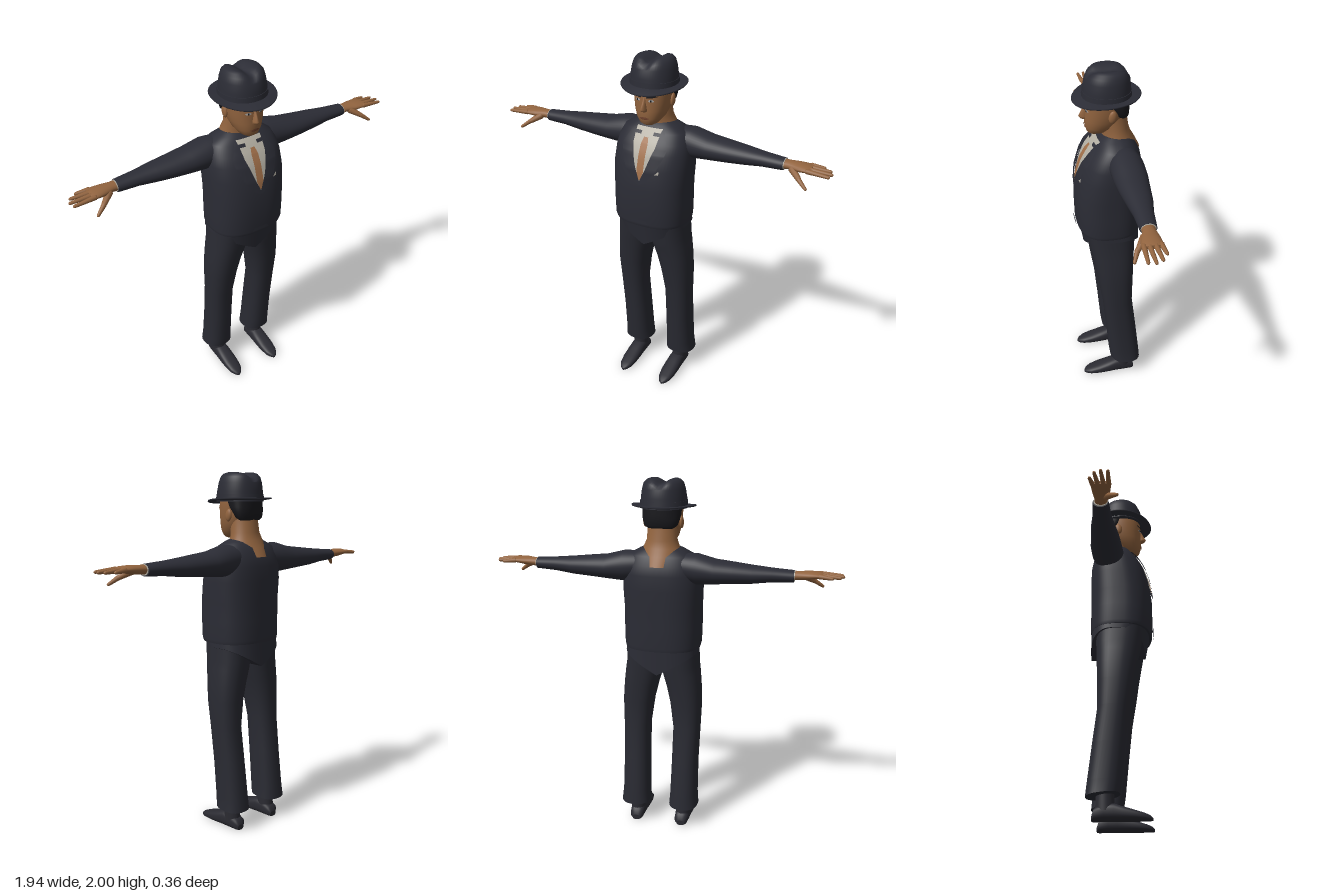
import * as THREE from 'three';

const paint = (name, color) => Object.assign(new THREE.MeshStandardMaterial({ color }), { name });

// Reverse the winding of an indexed geometry
function flip(geo) {
  const ix = geo.index;
  for (let i = 0; i < ix.count; i += 3) {
    const b = ix.getX(i + 1);
    ix.setX(i + 1, ix.getX(i + 2));
    ix.setX(i + 2, b);
  }
  return geo;
}

// Closed skin through superellipse sections [t, u0, u1, v0, v1] along an axis
function loft(sections, { axis = 'y', p = 2, n = 40, bend } = {}) {
  const pos = [], idx = [];
  const place = { x: (t, u, v) => [t, u, v], y: (t, u, v) => [u, t, v], z: (t, u, v) => [u, v, t] }[axis];
  const add = (t, u, v) => {
    const q = new THREE.Vector3(...place(t, u, v));
    if (bend) bend(q);
    pos.push(q.x, q.y, q.z);
  };
  const round = c => Math.sign(c) * Math.abs(c) ** (2 / p);
  const ring = ([t, u0, u1, v0, v1]) => {
    for (let i = 0; i < n; i++) {
      const a = i / n * Math.PI * 2;
      add(t, (u0 + u1) / 2 + (u1 - u0) / 2 * round(Math.cos(a)), (v0 + v1) / 2 + (v1 - v0) / 2 * round(Math.sin(a)));
    }
  };
  sections.forEach(ring);
  const m = sections.length;
  for (let r = 0; r < m - 1; r++) for (let i = 0; i < n; i++) {
    const a = r * n + i, b = r * n + (i + 1) % n;
    idx.push(a, b, a + n, b, b + n, a + n);
  }
  // end caps with their own vertices, so their edges stay crisp
  [sections[0], sections[m - 1]].forEach((s, end) => {
    const base = pos.length / 3;
    ring(s);
    add(s[0], (s[1] + s[2]) / 2, (s[3] + s[4]) / 2);
    for (let i = 0; i < n; i++) {
      const a = base + i, b = base + (i + 1) % n;
      idx.push(base + n, ...(end ? [a, b] : [b, a]));
    }
  });
  const geo = new THREE.BufferGeometry();
  geo.setAttribute('position', new THREE.Float32BufferAttribute(pos, 3));
  geo.setIndex(idx);
  // turn the skin outwards
  let volume = 0;
  const v = k => new THREE.Vector3().fromArray(pos, idx[k] * 3);
  for (let k = 0; k < idx.length; k += 3) volume += v(k).dot(v(k + 1).cross(v(k + 2)));
  if (volume < 0) flip(geo);
  geo.computeVertexNormals();
  return geo;
}

// Symmetric section: height, half width, back z, front z
const sym = rows => rows.map(([y, w, b, f]) => [y, -w, w, b, f]);

// Thin panel that follows the front of a lofted body; rows are [y, x0, x1]
function panel(body, p, rows, offset) {
  const frontZ = (x, y) => {
    let k = 0;
    while (k < body.length - 2 && y > body[k + 1][0]) k++;
    const a = body[k], b = body[k + 1], t = (y - a[0]) / (b[0] - a[0]);
    const [, , w, z0, z1] = a.map((c, i) => c + (b[i] - c) * t);
    return (z0 + z1) / 2 + (z1 - z0) / 2 * Math.max(0, 1 - Math.abs(x / w) ** p) ** (1 / p) + offset;
  };
  const pos = [], idx = [], cols = 8, sub = 5, last = (rows.length - 1) * sub;
  for (let r = 0; r <= last; r++) {
    const k = Math.min(Math.floor(r / sub), rows.length - 2), t = r / sub - k;
    const [y, x0, x1] = rows[k].map((c, i) => c + (rows[k + 1][i] - c) * t);
    for (let c = 0; c <= cols; c++) {
      const x = x0 + (x1 - x0) * c / cols;
      pos.push(x, y, frontZ(x, y));
      if (r < last && c < cols) {
        const a = r * (cols + 1) + c, d = a + cols + 1;
        idx.push(a, d, a + 1, d, d + 1, a + 1);
      }
    }
  }
  const geo = new THREE.BufferGeometry();
  geo.setAttribute('position', new THREE.Float32BufferAttribute(pos, 3));
  geo.setIndex(idx);
  geo.computeVertexNormals();
  return geo;
}

// Tapered finger segment with a rounded tip
function finger(a, b, r0, r1) {
  const from = new THREE.Vector3(...a), dir = new THREE.Vector3(...b).sub(from), L = dir.length();
  const profile = [[0, -r0 * 0.7], [r0 * 0.7, -r0 * 0.5], [r0, 0], [r1, L - r1], [r1 * 0.7, L - r1 * 0.3], [0, L]];
  const geo = new THREE.LatheGeometry(profile.map(q => new THREE.Vector2(...q)), 10);
  geo.applyQuaternion(new THREE.Quaternion().setFromUnitVectors(new THREE.Vector3(0, 1, 0), dir.normalize()));
  return geo.translate(...a);
}

export function createModel() {
  const suit = paint('charcoal suit', 0x2b2c35), trouser = paint('dark trousers', 0x292a32);
  const leather = paint('shoe leather', 0x2a2a31), skin = paint('skin', 0x92643f);
  const shirt = paint('shirt', 0xb3aea2), tieCloth = paint('tie', 0xa06f49);
  const hair = paint('hair', 0x18181c), lips = paint('lips', 0x734530), eyeWhite = paint('eye white', 0xa9a8a6);
  for (const m of [suit, shirt, tieCloth, hair, lips, eyeWhite]) m.side = THREE.DoubleSide;

  const model = new THREE.Group();
  const part = (name, geo, mat) => {
    const mesh = new THREE.Mesh(geo, mat);
    mesh.name = name;
    model.add(mesh);
  };
  const pair = (name, geo, mat) => {
    part(name + 'Left', geo, mat);
    part(name + 'Right', flip(geo.clone().scale(-1, 1, 1)), mat);
  };

  // Jacket body and the pointed hem below it
  const torso = sym([[1.08, 0.208, -0.172, 0.168], [1.1, 0.213, -0.175, 0.175], [1.2, 0.215, -0.175, 0.178],
    [1.31, 0.215, -0.175, 0.177], [1.42, 0.22, -0.178, 0.16], [1.5, 0.215, -0.175, 0.135], [1.55, 0.205, -0.165, 0.108],
    [1.6, 0.18, -0.14, 0.07], [1.63, 0.125, -0.11, 0.042], [1.645, 0.095, -0.09, 0.02]]);
  const P = 2.6;
  part('jacketBody', loft(torso, { p: P, n: 64 }), suit);
  part('jacketHem', loft(sym([[1.12, 0.203, -0.17, 0.165], [1.055, 0.205, -0.172, 0.135]]), {
    p: P, n: 64, bend: q => { if (q.y < 1.1) q.y -= 0.11 * Math.max(0, 1 - Math.abs(q.x) / 0.2); },
  }), suit);
  part('waistBuckle', panel(torso, P, [[1.125, -0.04, 0.04], [1.095, -0.06, 0.06]], 0.008), suit);

  // Shirt front, tie, lapels and pocket square
  part('shirtFront', panel(torso, P, [[1.622, -0.075, 0.075], [1.55, -0.068, 0.068], [1.45, -0.04, 0.04], [1.36, -0.003, 0.003]], 0.006), shirt);
  part('tie', panel(torso, P, [[1.58, -0.012, 0.012], [1.55, -0.02, 0.02], [1.41, -0.02, 0.02], [1.365, -0.004, 0.004]], 0.009), tieCloth);
  pair('collarTab', panel(torso, P, [[1.605, 0.035, 0.08], [1.59, 0.035, 0.08]], 0.009), suit);
  pair('lapel', panel(torso, P, [[1.615, 0.075, 0.09], [1.54, 0.067, 0.132], [1.5, 0.054, 0.122], [1.42, 0.028, 0.088], [1.36, 0.001, 0.04], [1.34, 0, 0.005]], 0.012), suit);
  part('pocketSquare', panel(torso, P, [[1.427, 0.104, 0.107], [1.408, 0.085, 0.107]], 0.011), shirt);

  // Sleeves, cuffs and hands
  const tube = rows => rows.map(([x, y, z, ry, rz]) => [x, y - ry, y + ry, z - rz, z + rz]);
  pair('sleeve', loft(tube([[0.1, 1.54, -0.06, 0.075, 0.08], [0.2, 1.534, -0.066, 0.084, 0.09], [0.3, 1.525, -0.067, 0.067, 0.088],
    [0.4, 1.523, -0.065, 0.058, 0.078], [0.5, 1.521, -0.066, 0.049, 0.066], [0.6, 1.522, -0.062, 0.038, 0.05],
    [0.7, 1.521, -0.058, 0.032, 0.043], [0.715, 1.521, -0.058, 0.031, 0.041]]), { axis: 'x' }), suit);
  pair('shirtCuff', loft(tube([[0.7, 1.523, -0.057, 0.028, 0.037], [0.719, 1.523, -0.057, 0.028, 0.037]]), { axis: 'x' }), shirt);
  pair('palm', loft(tube([[0.69, 1.523, -0.056, 0.026, 0.034], [0.74, 1.525, -0.054, 0.023, 0.033], [0.79, 1.528, -0.047, 0.023, 0.046],
    [0.84, 1.531, -0.044, 0.017, 0.052], [0.862, 1.531, -0.044, 0.01, 0.046]]), { axis: 'x', n: 24 }), skin);
  [[-0.084, 0.918, -0.096], [-0.058, 0.957, -0.068], [-0.03, 0.972, -0.034], [-0.004, 0.965, 0.002]].forEach(([z0, x, z1], i) =>
    pair('finger' + (i + 1), finger([0.845, 1.531, z0], [x, 1.524, z1], 0.0135, 0.0085), skin));
  pair('thumbBase', finger([0.765, 1.518, -0.025], [0.825, 1.48, 0.022], 0.02, 0.013), skin);
  pair('thumbTip', finger([0.815, 1.487, 0.016], [0.866, 1.45, 0.042], 0.013, 0.008), skin);

  // Trouser legs with a slanted hem
  pair('trouserLeg', loft([[1.09, -0.01, 0.2, -0.14, 0.13], [0.98, -0.005, 0.207, -0.135, 0.115], [0.93, 0.003, 0.214, -0.132, 0.105],
    [0.85, 0.027, 0.222, -0.128, 0.09], [0.75, 0.05, 0.228, -0.123, 0.075], [0.6, 0.07, 0.224, -0.12, 0.05],
    [0.4, 0.068, 0.219, -0.145, 0.03], [0.2, 0.064, 0.221, -0.168, 0.012], [0.13, 0.059, 0.228, -0.176, 0.003]], {
    p: 2.4, bend: q => { if (q.y < 0.15) q.y += 0.1 * (q.z + 0.086); },
  }), trouser);

  // Shoes
  pair('ankle', loft([[0.05, 0.095, 0.18, -0.125, -0.025], [0.2, 0.1, 0.18, -0.12, -0.03]]), leather);
  const shoe = [[-0.142, 0.03, 0.022], [-0.13, 0.065, 0.038], [-0.08, 0.09, 0.043], [-0.03, 0.09, 0.044], [0.02, 0.073, 0.046],
    [0.08, 0.054, 0.045], [0.13, 0.038, 0.037], [0.157, 0.026, 0.022], [0.168, 0.014, 0.007]];
  pair('shoe', loft(shoe.map(([z, h, w]) => [z, 0.136 - w, 0.136 + w, 0, h]), { axis: 'z', p: 2.6 }), leather);

  // Neck and head
  part('neck', loft(sym([[1.55, 0.1, -0.172, 0.02], [1.6, 0.108, -0.147, 0.035], [1.64, 0.1, -0.124, 0.03],
    [1.68, 0.084, -0.112, 0.035], [1.76, 0.08, -0.1, 0.05]])), skin);
  const head = sym([[1.648, 0.028, 0.045, 0.092], [1.66, 0.05, 0, 0.107], [1.69, 0.073, -0.05, 0.116], [1.73, 0.088, -0.085, 0.118],
    [1.77, 0.096, -0.1, 0.116], [1.81, 0.1, -0.106, 0.117], [1.86, 0.102, -0.108, 0.112], [1.92, 0.09, -0.09, 0.1]]);
  const H = 2.2;
  part('head', loft(head, { p: H }), skin);
  part('nose', loft(sym([[1.726, 0.01, 0.09, 0.12], [1.734, 0.018, 0.09, 0.139], [1.746, 0.016, 0.09, 0.148],
    [1.775, 0.01, 0.09, 0.133], [1.805, 0.008, 0.09, 0.119]]), { n: 16 }), skin);
  part('mouth', panel(head, H, [[1.699, -0.012, 0.012], [1.693, -0.03, 0.03], [1.685, -0.014, 0.014]], 0.003), lips);
  pair('eye', panel(head, H, [[1.796, 0.03, 0.044], [1.789, 0.022, 0.054], [1.783, 0.03, 0.046]], 0.002), eyeWhite);
  pair('iris', panel(head, H, [[1.796, 0.034, 0.042], [1.783, 0.034, 0.042]], 0.004), hair);
  pair('eyebrow', panel(head, H, [[1.816, 0.03, 0.06], [1.811, 0.016, 0.068], [1.804, 0.014, 0.03]], 0.004), hair);
  pair('ear', new THREE.SphereGeometry(1, 16, 12).scale(0.012, 0.034, 0.021).rotateX(-0.15).translate(0.1, 1.772, -0.012), skin);
  part('hair', loft(sym([[1.745, 0.07, -0.1, -0.05], [1.76, 0.09, -0.11, -0.025], [1.79, 0.1, -0.113, -0.005],
    [1.815, 0.104, -0.115, 0.025], [1.87, 0.106, -0.116, 0.06]]), { p: 2.3 }), hair);

  // Hat: creased crown, band and curled brim
  part('hatCrown', loft(sym([[1.845, 0.126, -0.126, 0.128], [1.9, 0.123, -0.122, 0.124], [1.945, 0.116, -0.117, 0.115],
    [1.975, 0.107, -0.108, 0.104], [1.992, 0.092, -0.093, 0.089], [2, 0.072, -0.073, 0.07], [2.002, 0.045, -0.05, 0.045],
    [2.002, 0.02, -0.025, 0.02], [2.002, 0.004, -0.005, 0.004]]), {
    n: 56, p: 2.1, bend: q => { if (q.y > 1.96) q.y -= 0.028 * Math.exp(-((q.x / 0.035) ** 2)); },
  }), suit);
  part('hatBand', loft(sym([[1.85, 0.129, -0.129, 0.131], [1.885, 0.127, -0.126, 0.128]]), { n: 56, p: 2.1 }), suit);
  part('hatBrim', loft(sym([[1.863, 0.115, -0.115, 0.115], [1.858, 0.135, -0.135, 0.138], [1.853, 0.172, -0.172, 0.178],
    [1.849, 0.175, -0.175, 0.181], [1.845, 0.172, -0.172, 0.178], [1.849, 0.135, -0.135, 0.138], [1.852, 0.115, -0.115, 0.115]]), {
    n: 56, bend: q => {
      const out = Math.max(0, Math.hypot(q.x, q.z) - 0.12) / 0.055;
      q.y += out * (0.01 * (q.x / 0.17) ** 2 - 0.07 * q.z);
    },
  }), suit);
  return model;
}
